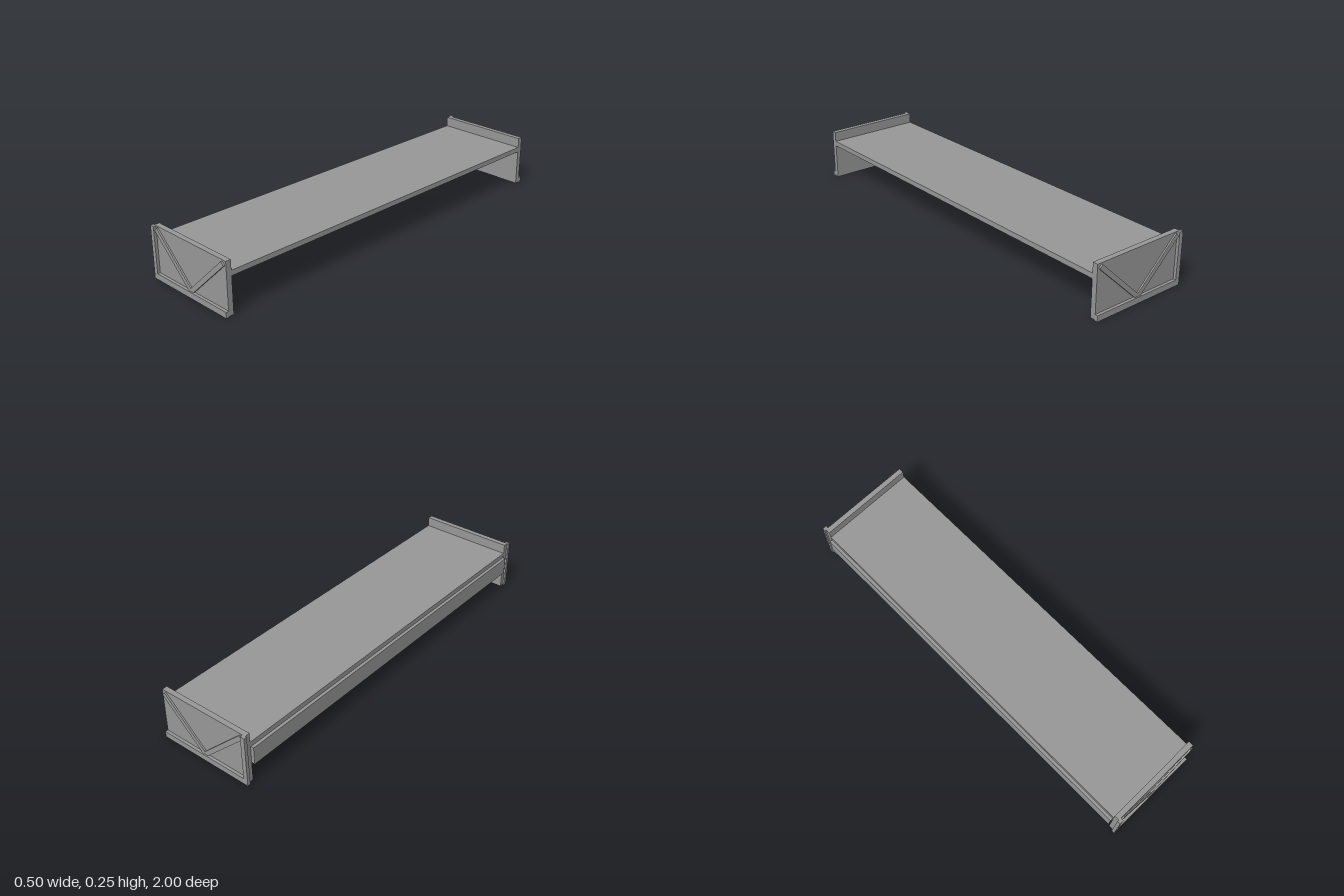
import * as THREE from 'three';

export function createModel() {
  const model = new THREE.Group();
  model.name = 'shelf';
  const gray = new THREE.MeshStandardMaterial({ color: 0x999999 });
  gray.name = 'plain gray';

  // box given by its lower and upper limits on each axis
  function box(name, parent, [x0, x1], [y0, y1], [z0, z1]) {
    const mesh = new THREE.Mesh(new THREE.BoxGeometry(x1 - x0, y1 - y0, z1 - z0), gray);
    mesh.position.set((x0 + x1) / 2, (y0 + y1) / 2, (z0 + z1) / 2);
    mesh.name = name;
    parent.add(mesh);
  }

  // long board and the rail under its edge
  box('shelfBoard', model, [-0.235, 0.248], [0.181, 0.206], [-0.96, 0.96]);
  box('edgeRail', model, [-0.25, -0.222], [0.094, 0.181], [-0.957, 0.957]);

  // V-shaped brace outline shared by both end panels
  const brace = new THREE.Shape([
    [-0.209, 0.25], [0.008, 0.043], [0.226, 0.25], [0.242, 0.234],
    [0.024, 0.028], [-0.008, 0.028], [-0.222, 0.231], [-0.222, 0.237],
  ].map(([x, y]) => new THREE.Vector2(x, y)));

  function endPanel(name, side) {
    const panel = new THREE.Group();
    panel.name = name;
    const span = (a, b) => (side > 0 ? [a, b] : [-b, -a]);
    box('panelBoard', panel, [-0.236, 0.248], [0.003, 0.255], span(0.96, 0.986));
    box('bottomTrim', panel, [-0.222, 0.249], [0, 0.029], span(0.984, 1));
    box('sideTrim', panel, [-0.244, -0.222], [0, 0.255], span(0.984, 1));
    const v = new THREE.Mesh(
      new THREE.ExtrudeGeometry(brace, { depth: 0.009, bevelEnabled: false }), gray);
    v.position.z = side > 0 ? 0.985 : -0.994;
    v.name = 'diagonalBrace';
    panel.add(v);
    model.add(panel);
  }
  endPanel('frontEndPanel', 1);
  endPanel('backEndPanel', -1);

  return model;
}
